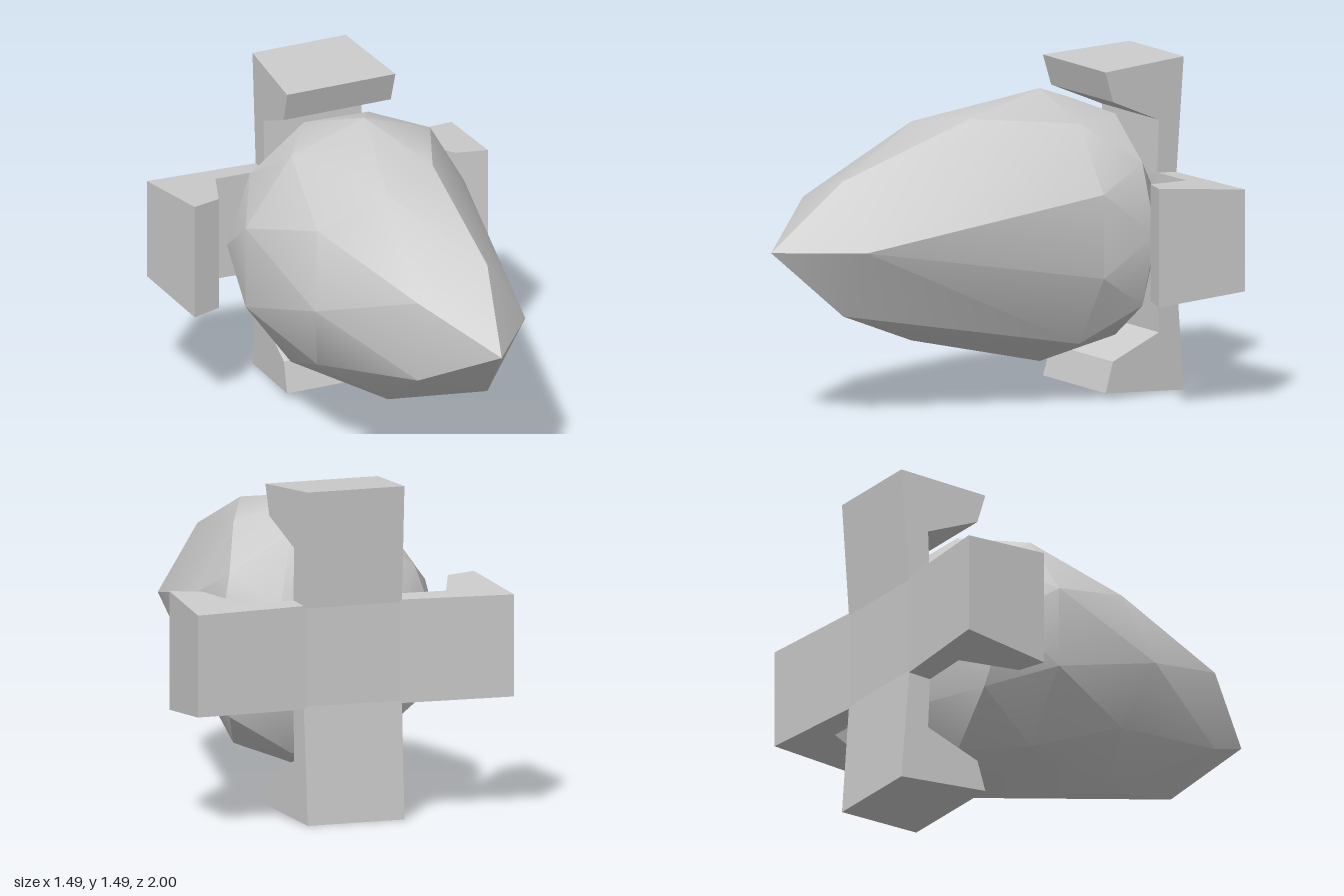
import * as THREE from 'three';
import { ConvexGeometry } from 'three/addons/geometries/ConvexGeometry.js';
import { toCreasedNormals } from 'three/addons/utils/BufferGeometryUtils.js';

const material = new THREE.MeshStandardMaterial({ color: 0xcccccc });

// Faceted, pointed body: rings of points from nose to tail, in five-fold steps
function makeBody() {
  const cx = 0.02, cy = 0.765, flatSide = 0.525;
  const points = [new THREE.Vector3(cx, cy, 1), new THREE.Vector3(cx, cy, -0.82)];
  const rings = [
    // radius, z, first angle, step, angles left out on the cut-away side
    [0.315, 0.68, 0, 72, [0, 72, 288]],
    [0.515, 0.18, 36, 72, [36, 324]],
    [0.545, 0.05, 0, 72, [0, 72, 288]],
    [0.61, -0.385, 18, 36, [18, 54, 306, 342]],
    [0.545, -0.645, 36, 72, []],
    [0.52, -0.675, 0, 72, []],
    [0.32, -0.8, 36, 72, []],
  ];
  for (const [r, z, first, step, skip] of rings) {
    for (let a = first; a < 360; a += step) {
      if (skip.includes(a)) continue;
      const t = THREE.MathUtils.degToRad(a);
      points.push(new THREE.Vector3(
        Math.min(cx + r * Math.cos(t), flatSide), cy + r * Math.sin(t), z));
    }
  }
  // Corners of the large flat facets on the cut-away side
  const corners = [
    [0.295, 0.775, 0.67], [0.105, 1.07, 0.68], [0.105, 0.465, 0.68],
    [0.143, 1.295, 0.05], [0.345, 1.265, -0.39], [0.345, 0.28, -0.39],
    [0.52, 0.97, -0.41], [0.522, 0.595, -0.41],
  ];
  for (const c of corners) points.push(new THREE.Vector3(...c));
  const body = new THREE.Mesh(toCreasedNormals(new ConvexGeometry(points), 0.5), material);
  body.name = 'body';
  return body;
}

// Hooked fin: side profile in (z, radius), widening towards the front
function makeFinGeometry() {
  const profile = [
    [-0.96, 0.22], [-0.855, 0.22], [-0.865, 0.475],
    [-0.615, 0.58], [-0.575, 0.717], [-1, 0.745],
  ].map(([z, r]) => new THREE.Vector2(z, r));
  const geometry = new THREE.ExtrudeGeometry(new THREE.Shape(profile), { depth: 1, bevelEnabled: false });
  geometry.translate(0, 0, -0.5);
  geometry.rotateY(-Math.PI / 2);
  const p = geometry.attributes.position;
  for (let i = 0; i < p.count; i++) {
    const halfWidth = THREE.MathUtils.mapLinear(p.getZ(i), -1, -0.575, 0.228, 0.265);
    p.setX(i, p.getX(i) * 2 * halfWidth);
  }
  geometry.computeVertexNormals();
  return geometry;
}

export function createModel() {
  const model = new THREE.Group();
  model.add(makeBody());

  // Cross-shaped tail: hub and four fins
  const tail = new THREE.Group();
  tail.name = 'tail';
  tail.position.y = 0.747;
  const hub = new THREE.Mesh(new THREE.BoxGeometry(0.46, 0.46, 0.105), material);
  hub.name = 'tailHub';
  hub.position.z = -0.9075;
  tail.add(hub);

  const finGeometry = makeFinGeometry();
  ['topFin', 'rightFin', 'bottomFin', 'leftFin'].forEach((name, i) => {
    const fin = new THREE.Mesh(finGeometry, material);
    fin.name = name;
    fin.rotation.z = i * Math.PI / 2;
    tail.add(fin);
  });
  model.add(tail);
  return model;
}
